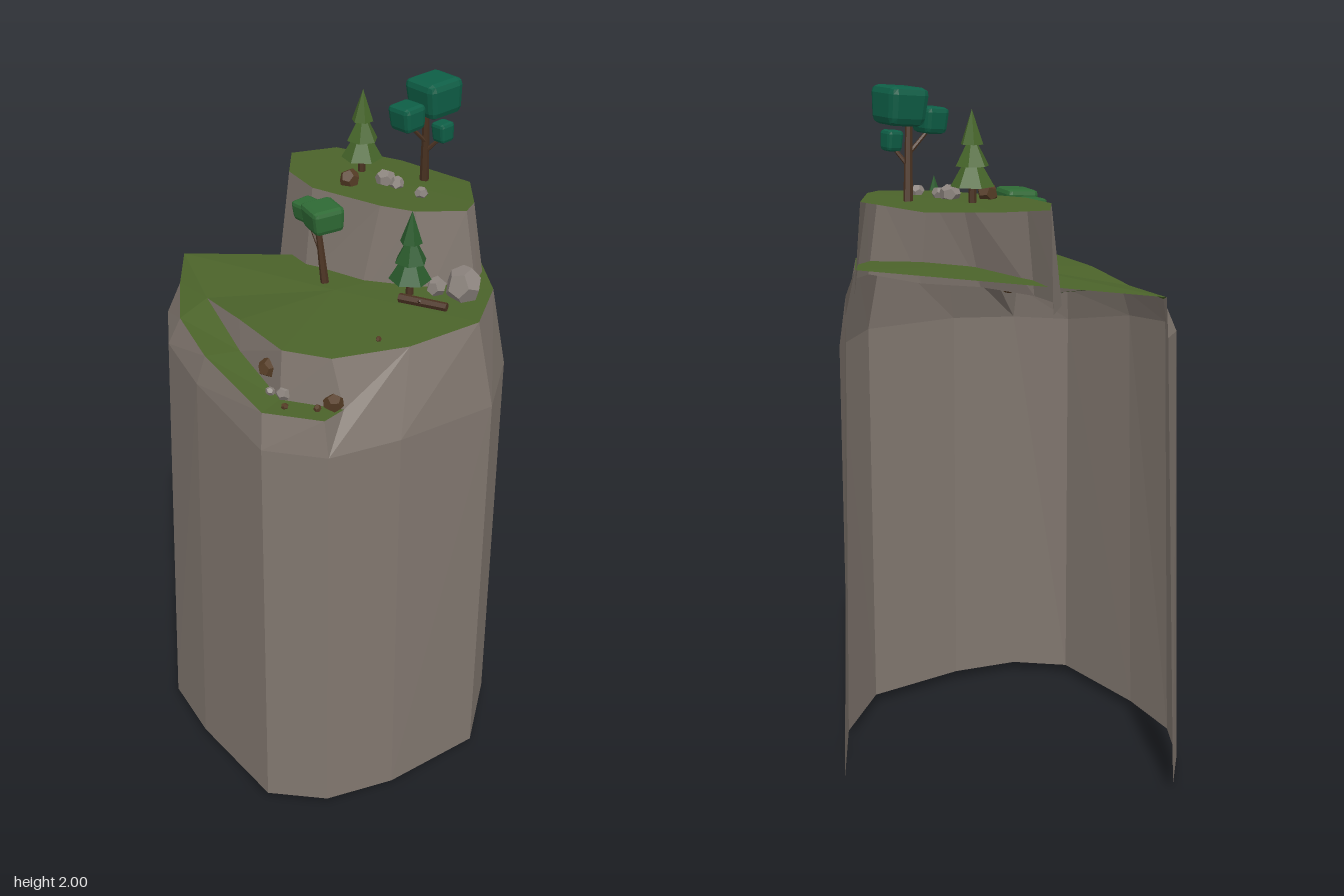
import * as THREE from 'three';
import { RoundedBoxGeometry } from 'three/addons/geometries/RoundedBoxGeometry.js';

const mat = (name, color, open = false) => {
  const m = new THREE.MeshStandardMaterial({ color });
  m.name = name;
  if (open) m.side = THREE.DoubleSide;
  return m;
};

// Gives every triangle its own normal
function faceted(geo) {
  const g = geo.index ? geo.toNonIndexed() : geo;
  g.computeVertexNormals();
  return g;
}

function fromTriangles(tris) {
  const g = new THREE.BufferGeometry();
  g.setAttribute('position', new THREE.Float32BufferAttribute(tris.flat(2), 3));
  return faceted(g);
}

// Skin between a lower and an upper line; repeated points make triangles
function strip(low, high) {
  const same = (a, b) => a.every((v, k) => v === b[k]);
  const tris = [];
  for (let i = 0; i < low.length - 1; i++) {
    tris.push([low[i], low[i + 1], high[i + 1]], [low[i], high[i + 1], high[i]]);
  }
  return tris.filter(([a, b, c]) => !same(a, b) && !same(b, c) && !same(a, c));
}

// Closed outline filled from a centre point
const fan = (centre, pts) => pts.map((p, i) => [centre, p, pts[(i + 1) % pts.length]]);

export function createModel() {
  const model = new THREE.Group();
  const rock = mat('cliff rock', 0x81776f, true);
  const grass = mat('grass', 0x4b632a, true);
  const bark = mat('bark', 0x4b3322);
  const teal = mat('teal leaves', 0x0e5e46);
  const leaf = mat('green leaves', 0x2f6a35);
  const pineLight = mat('olive needles', 0x46652a);
  const pineDark = mat('dark needles', 0x2a5a2c);
  const stone = mat('pale stone', 0x8c847e);
  const earth = mat('brown stone', 0x553c25);

  const add = (name, geo, material, parent = model) => {
    const m = new THREE.Mesh(geo, material);
    m.name = name;
    parent.add(m);
    return m;
  };

  // Main cliff: base, shoulder and rim of each column, from left around the front
  const base = [[-.54, .03, -.02], [-.47, .03, .13], [-.36, .03, .27], [-.17, .03, .37], [.15, .03, .48],
    [.31, .03, .4], [.43, .03, .23], [.54, .03, -.06], [.45, .03, -.3], [.31, 0, -.48]];
  const shoulder = [[-.478, 1.34, -.01], [-.43, 1.33, .125], [-.32, 1.32, .26], [-.14, 1.3, .365], [.14, 1.24, .46],
    [.305, 1.24, .395], [.42, 1.25, .23], [.535, 1.25, -.05], [.45, 1.25, -.28], [.315, 1.43, -.4]];
  const ledgeRim = [[-.47, 1.45, -.01], [-.4, 1.42, .1], [-.29, 1.4, .24], [-.12, 1.385, .35], [.13, 1.34, .44],
    [.285, 1.34, .385]];
  const tip = [-.26, 1.435, .155];
  const foot = [tip, [-.06, 1.385, .275], [.13, 1.34, .36], [.295, 1.34, .31]];
  const lip = [tip, [-.08, 1.46, .245], [.12, 1.47, .335], [.25, 1.47, .3]];
  const sideRim = [[.39, 1.48, .15], [.49, 1.5, -.03], [.43, 1.5, -.22], [.3, 1.5, -.375]];

  add('cliffWall', fromTriangles([
    ...strip(base, shoulder),
    ...strip(shoulder.slice(0, 6), ledgeRim),
    ...strip(shoulder.slice(6), sideRim),
    // corner where the ledge ends against the higher wall
    [shoulder[5], shoulder[6], sideRim[0]],
    [shoulder[5], sideRim[0], foot[3]],
    [shoulder[5], foot[3], ledgeRim[5]],
    [foot[3], sideRim[0], lip[3]],
  ]), rock);
  add('ledgeRockFace', fromTriangles(strip(foot, lip)), rock);
  add('ledgeGrass', fromTriangles(strip(ledgeRim, [tip, tip, tip, foot[1], foot[2], foot[3]])), grass);
  add('plateauGrass', fromTriangles(fan([.06, 1.485, 0],
    [ledgeRim[0], ...lip, ...sideRim]).map(([a, b, c]) => [a, b, c])), grass);

  // Upper tier: open at the back, with an overhanging grass cap
  const capRim = [[-.295, 1.7, -.31], [-.22, 1.7, -.19], [-.1, 1.7, -.13], [.12, 1.7, -.13], [.22, 1.7, -.15],
    [.33, 1.7, -.23], [.32, 1.7, -.29], [.235, 1.695, -.42]];
  const tierFoot = [[-.3, 1.43, -.3], [-.245, 1.43, -.175], [-.11, 1.43, -.105], [.09, 1.43, -.08], [.265, 1.43, -.13],
    [.375, 1.46, -.23], [.36, 1.46, -.3], [.275, 1.43, -.41]];
  add('upperTierWall', fromTriangles(strip(tierFoot, capRim)), rock);
  add('upperTierGrass', fromTriangles(fan([.02, 1.702, -.29],
    [...capRim, [-.01, 1.69, -.46], [-.21, 1.7, -.42]])), grass);

  // Trunk or branch between two points
  function limb(name, a, b, r0, r1, parent) {
    const from = new THREE.Vector3(...a), dir = new THREE.Vector3(...b).sub(from);
    const m = add(name, faceted(new THREE.CylinderGeometry(r1, r0, dir.length(), 6)), bark, parent);
    m.position.copy(from).addScaledVector(dir, .5);
    m.quaternion.setFromUnitVectors(new THREE.Vector3(0, 1, 0), dir.normalize());
  }

  // Chunky foliage block, narrower below
  function canopy(size, pos, turn, material, parent) {
    const g = new RoundedBoxGeometry(...size, 1, Math.min(...size) * .2);
    const p = g.attributes.position;
    for (let i = 0; i < p.count; i++) {
      const k = .94 + .12 * p.getY(i) / size[1];
      p.setX(i, p.getX(i) * k);
      p.setZ(i, p.getZ(i) * k);
    }
    const m = add('foliage', faceted(g), material, parent);
    m.position.set(...pos);
    m.rotation.set(.08, turn, .06);
  }

  const group = (name) => {
    const g = new THREE.Group();
    g.name = name;
    model.add(g);
    return g;
  };

  const tall = group('tallTree');
  limb('trunk', [.125, 1.69, -.355], [.14, 1.92, -.325], .013, .009, tall);
  limb('branch', [.135, 1.79, -.34], [.18, 1.84, -.35], .006, .005, tall);
  limb('branch', [.135, 1.82, -.335], [.11, 1.88, -.28], .006, .005, tall);
  canopy([.125, .1, .12], [.143, 1.945, -.36], -.35, teal, tall);
  canopy([.085, .07, .075], [.113, 1.905, -.27], -.3, teal, tall);
  canopy([.05, .055, .05], [.18, 1.853, -.35], -.3, teal, tall);

  const small = group('smallTree');
  limb('trunk', [.01, 1.47, -.03], [-.015, 1.65, -.03], .012, .008, small);
  limb('branch', [-.005, 1.57, -.03], [-.07, 1.65, -.06], .006, .005, small);
  canopy([.105, .07, .095], [.002, 1.675, -.03], -.55, leaf, small);
  canopy([.062, .055, .065], [-.075, 1.665, -.065], -.3, leaf, small);

  // Pines: three stacked six-sided cones
  function pine(name, x, y, z, h, material) {
    const g = group(name);
    g.position.set(x, y, z);
    limb('trunk', [0, -.01, 0], [0, h * .3, 0], .011, .009, g);
    [[.18, .42, .058], [.4, .36, .045], [.63, .37, .031]].forEach(([at, tall, r], i) => {
      const cone = add('needles', faceted(new THREE.ConeGeometry(r, h * tall, 6)), material, g);
      cone.position.y = h * (at + tall / 2);
      cone.rotation.y = i * .4;
    });
  }
  pine('upperPine', -.05, 1.7, -.305, .24, pineLight);
  pine('lowerPine', .25, 1.495, -.08, .24, pineDark);

  // Stones: x, y, z, radius, material
  [[.05, 1.715, -.27, .03, stone], [.09, 1.71, -.265, .022, stone], [.18, 1.71, -.245, .02, stone],
    [-.03, 1.715, -.21, .03, earth], [.38, 1.53, -.14, .056, stone], [.31, 1.515, -.12, .032, stone],
    [.07, 1.4, .325, .03, earth], [.135, 1.355, .35, .022, stone], [.1, 1.355, .36, .014, stone],
    [.27, 1.357, .32, .03, earth], [.24, 1.345, .35, .012, earth], [.165, 1.345, .388, .011, earth],
    [.305, 1.482, .165, .009, earth],
  ].forEach(([x, y, z, r, material], i) => {
    const m = add('stone', faceted(new THREE.DodecahedronGeometry(r, 0)), material);
    m.position.set(x, y, z);
    m.scale.set(1, .85, .95);
    m.rotation.set(i * .7, i * 1.3, i * .4);
  });

  // Fallen log beside the lower pine
  limb('fallenLog', [.255, 1.51, -.018], [.39, 1.512, -.036], .013, .012, model);
  limb('logTwig', [.31, 1.51, -.025], [.325, 1.525, -.005], .005, .003, model);

  return model;
}
